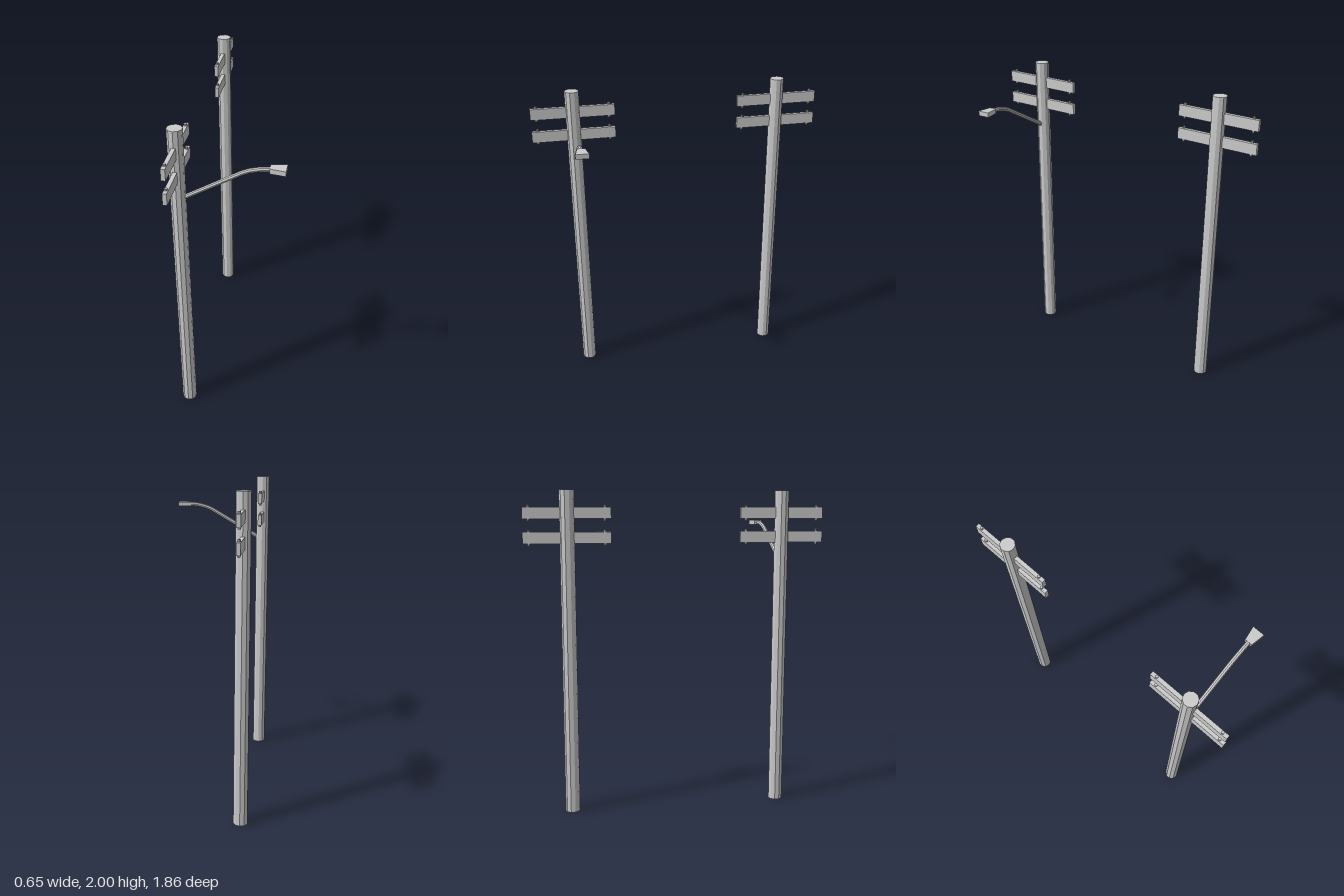
import * as THREE from 'three';

const POLE_X = -0.283, POLE_Z = 0.667, POLE_R = 0.045, HEIGHT = 2;
const material = new THREE.MeshStandardMaterial({ color: 0xcccccc, flatShading: true });

function add(parent, name, geometry, x = 0, y = 0, z = 0) {
  const mesh = new THREE.Mesh(geometry, material);
  mesh.name = name;
  mesh.position.set(x, y, z);
  parent.add(mesh);
  return mesh;
}

function createPole(name) {
  const pole = new THREE.Group();
  pole.name = name;

  // ten-sided post, open underneath, with a flat cap
  add(pole, 'post', new THREE.CylinderGeometry(POLE_R, POLE_R, HEIGHT, 10, 1, true), 0, HEIGHT / 2, 0);
  const cap = new THREE.CircleGeometry(POLE_R, 10, Math.PI / 2).rotateX(-Math.PI / 2);
  add(pole, 'postCap', cap, 0, HEIGHT, 0);

  // two crossarms, each with a pin through both ends
  for (const y of [1.717, 1.865]) {
    add(pole, 'crossarm', new THREE.BoxGeometry(0.025, 0.07, 0.53), 0, y, 0);
    for (const side of [-1, 1]) {
      add(pole, 'insulatorPin', new THREE.CylinderGeometry(0.009, 0.009, 0.096, 8), 0, y, side * 0.228);
    }
  }
  return pole;
}

function createLamp() {
  const lamp = new THREE.Group();
  lamp.name = 'streetLamp';

  // bent arm: one ring of the tube at each bend
  const points = [[-0.25, 1.572], [0.08, 1.762], [0.12, 1.779], [0.18, 1.794], [0.245, 1.8]]
    .map(([x, y]) => new THREE.Vector3(x, y, 0));
  const path = new THREE.CatmullRomCurve3(points);
  path.getPointAt = path.getPoint;
  path.getTangentAt = path.getTangent;
  add(lamp, 'lampArm', new THREE.TubeGeometry(path, points.length - 1, 0.014, 8));

  // lamp head: flat wedge widening outwards
  const outline = new THREE.Shape([[0.232, -0.024], [0.323, -0.039], [0.323, 0.039], [0.232, 0.024]]
    .map(([x, z]) => new THREE.Vector2(x, z)));
  const head = new THREE.ExtrudeGeometry(outline, { depth: 0.03, bevelEnabled: false });
  head.rotateX(-Math.PI / 2);
  add(lamp, 'lampHead', head, 0, 1.784, 0);
  return lamp;
}

export function createModel() {
  const model = new THREE.Group();
  model.name = 'utilityPoles';

  const front = createPole('frontPole');
  front.position.set(POLE_X, 0, POLE_Z);
  const back = createPole('backPole');
  back.position.set(POLE_X, 0, -POLE_Z);
  const lamp = createLamp();
  lamp.position.z = POLE_Z;

  model.add(front, back, lamp);
  return model;
}
